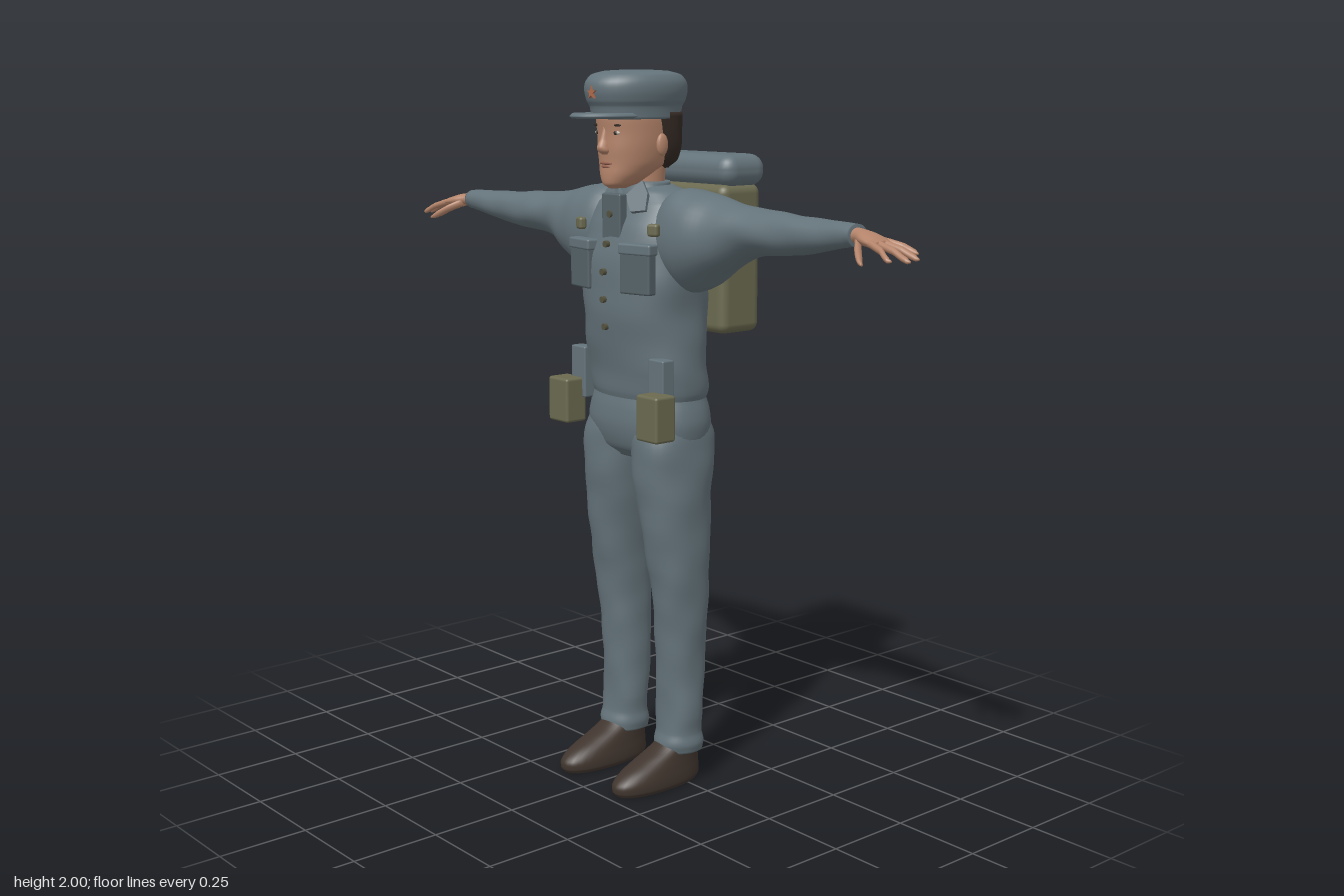
import * as THREE from 'three';
import { RoundedBoxGeometry } from 'three/addons/geometries/RoundedBoxGeometry.js';

const mat = (name, color, side = THREE.FrontSide) => {
  const m = new THREE.MeshStandardMaterial({ color, side });
  m.name = name;
  return m;
};

// Smooth skin over elliptical rings [t, cu, cv, ru, rv].
// Axis 'y': t = y, u = x, v = z.  Axis 'x': t = x, u = z, v = y.  t must rise.
function loft(rings, { axis = 'y', n = 2, seg = 32, sub = 5, fold = 0, cap = true } = {}) {
  const rows = [];
  const at = (i) => rings[Math.min(Math.max(i, 0), rings.length - 1)];
  for (let i = 0; i < rings.length - 1; i++) {
    for (let k = 0; k < sub; k++) {
      const f = k / sub;
      rows.push(rings[i].map((b, c) => {
        if (c === 0) return b + (at(i + 1)[0] - b) * f;
        const a = at(i - 1)[c], d = at(i + 1)[c], e = at(i + 2)[c];
        return 0.5 * (2 * b + (d - a) * f + (2 * a - 5 * b + 4 * d - e) * f * f + (3 * b - a - 3 * d + e) * f * f * f);
      }));
    }
  }
  rows.push(at(rings.length));
  if (cap) {
    const shut = (r) => [r[0], r[1], r[2], 0, 0];
    rows.unshift(shut(rows[0]));
    rows.push(shut(rows[rows.length - 1]));
  }
  const pos = [], index = [];
  const bend = (x) => Math.sign(x) * Math.pow(Math.abs(x), 2 / n);
  rows.forEach(([t, cu, cv, ru, rv], r) => {
    for (let j = 0; j < seg; j++) {
      const a = (j / seg) * Math.PI * 2;
      // cloth folds
      const w = 1 + fold * (Math.sin(3 * a + t * 31) + 0.7 * Math.sin(2 * a - t * 53 + 1) + 0.4 * Math.sin(5 * a + t * 17));
      const u = cu + ru * w * bend(Math.cos(a)), v = cv + rv * w * bend(Math.sin(a));
      if (axis === 'y') pos.push(u, t, v); else pos.push(t, v, u);
      if (r < rows.length - 1) {
        const p = r * seg + j, q = r * seg + (j + 1) % seg;
        index.push(p, p + seg, q, q, p + seg, q + seg);
      }
    }
  });
  const g = new THREE.BufferGeometry();
  g.setAttribute('position', new THREE.Float32BufferAttribute(pos, 3));
  g.setIndex(index);
  g.computeVertexNormals();
  return g;
}

// Mirrored copy across x = 0 with the winding put right
function mirrored(geo) {
  const g = geo.index ? geo.toNonIndexed() : geo.clone();
  g.scale(-1, 1, 1);
  for (const key of Object.keys(g.attributes)) {
    const { array, itemSize: s } = g.attributes[key];
    for (let i = 0; i < array.length; i += 3 * s) {
      for (let c = 0; c < s; c++) {
        const keep = array[i + s + c];
        array[i + s + c] = array[i + 2 * s + c];
        array[i + 2 * s + c] = keep;
      }
    }
  }
  return g;
}

const box = (w, h, d, x, y, z, r = 0.005, ry = 0) =>
  new RoundedBoxGeometry(w, h, d, 3, r).rotateY(ry).translate(x, y, z);
const ball = (rx, ry, rz, x, y, z) =>
  new THREE.SphereGeometry(1, 18, 12).scale(rx, ry, rz).translate(x, y, z);

export function createModel() {
  const root = new THREE.Group();
  root.name = 'uniformedFigure';
  const cloth = mat('uniform cloth', 0x64737a);
  const trim = mat('pocket cloth', 0x566368);
  const olive = mat('olive canvas', 0x6b6a50);
  const skin = mat('skin', 0xb4846a);
  const hair = mat('dark hair', 0x342a24);
  const leather = mat('shoe leather', 0x40352e);
  const lip = mat('lips', 0x94604f);
  const white = mat('eye white', 0xc4b8ac);
  const brass = mat('button metal', 0x54523f);
  const red = mat('badge copper', 0xb06a4c);

  const add = (name, geo, m) => {
    const mesh = new THREE.Mesh(geo, m);
    mesh.name = name;
    root.add(mesh);
  };
  const pair = (name, geo, m) => {
    add(name + 'Left', geo, m);
    add(name + 'Right', mirrored(geo), m);
  };

  // Jacket
  add('jacketBody', loft([
    [1.09, 0, 0.005, 0.178, 0.112], [1.13, 0, 0.005, 0.194, 0.122], [1.2, 0, 0.012, 0.194, 0.126],
    [1.3, 0, 0.018, 0.188, 0.138], [1.4, 0, 0.02, 0.192, 0.144], [1.5, 0, 0.018, 0.198, 0.138],
    [1.58, 0, 0.008, 0.195, 0.124], [1.64, 0, 0.002, 0.168, 0.102], [1.675, 0, 0.002, 0.12, 0.082],
    [1.69, 0, 0.005, 0.07, 0.06]], { n: 2.3, seg: 48, fold: 0.009 }), cloth);
  pair('sleeve', loft([
    [0.08, 0, 1.55, 0.09, 0.11], [0.16, 0, 1.552, 0.11, 0.134], [0.22, 0, 1.55, 0.108, 0.134],
    [0.3, -0.004, 1.563, 0.096, 0.101], [0.4, -0.01, 1.583, 0.08, 0.067], [0.5, 0, 1.588, 0.066, 0.057],
    [0.6, 0.011, 1.591, 0.054, 0.049], [0.7, 0.022, 1.598, 0.042, 0.039], [0.78, 0.03, 1.606, 0.034, 0.03],
    [0.805, 0.031, 1.607, 0.032, 0.028]], { axis: 'x', seg: 36, fold: 0.016 }), cloth);
  add('collarBand', loft([[1.63, 0, 0.015, 0.092, 0.08], [1.665, 0, 0.018, 0.078, 0.071], [1.7, 0, 0.015, 0.068, 0.064]],
    { cap: true }), cloth);
  const flap = new THREE.Shape([[0.022, 1.66], [0.062, 1.705], [0.09, 1.668], [0.098, 1.618], [0.052, 1.612]]
    .map(([x, y]) => new THREE.Vector2(x, y)));
  pair('collarFlap', new THREE.ExtrudeGeometry(flap, { depth: 0.012, bevelEnabled: false })
    .translate(0, -1.66, 0).rotateX(-0.5).rotateY(0.3).translate(0, 1.66, 0.105), cloth);
  add('chestPlacket', box(0.078, 0.14, 0.026, 0, 1.6, 0.128), trim);
  pair('chestPocket', box(0.104, 0.115, 0.032, 0.115, 1.465, 0.142, 0.006, 0.18), trim);
  pair('pocketFlap', box(0.112, 0.03, 0.038, 0.115, 1.528, 0.142, 0.006, 0.18), cloth);
  pair('shoulderBadge', box(0.034, 0.034, 0.022, 0.155, 1.58, 0.12, 0.008, 0.3), olive);
  [[1.615, 0.142], [1.535, 0.156], [1.46, 0.168], [1.385, 0.168], [1.31, 0.162]].forEach(([y, z], i) =>
    add('button' + (i + 1), new THREE.CylinderGeometry(0.009, 0.009, 0.012, 16).rotateX(Math.PI / 2).translate(0, y, z), brass));

  // Trousers
  add('trouserSeat', loft([
    [0.94, 0, 0.006, 0.13, 0.08], [0.97, 0, 0.006, 0.185, 0.112], [1.03, 0, 0.004, 0.199, 0.13],
    [1.08, 0, 0.003, 0.194, 0.128], [1.13, 0, 0.005, 0.182, 0.114]], { n: 2.3, seg: 48, fold: 0.004 }), cloth);
  pair('trouserLeg', loft([
    [0.095, 0.12, -0.003, 0.066, 0.066], [0.12, 0.121, -0.003, 0.071, 0.068], [0.15, 0.12, -0.004, 0.067, 0.06],
    [0.2, 0.12, -0.006, 0.07, 0.06], [0.3, 0.118, -0.01, 0.067, 0.066], [0.42, 0.121, -0.009, 0.067, 0.073],
    [0.52, 0.125, -0.006, 0.07, 0.079], [0.64, 0.124, 0.002, 0.076, 0.091], [0.8, 0.114, 0.009, 0.087, 0.107],
    [0.92, 0.105, 0.008, 0.097, 0.12], [1.0, 0.1, 0.004, 0.098, 0.124], [1.06, 0.095, 0.004, 0.09, 0.11]],
    { n: 2.2, seg: 36, fold: 0.014 }), cloth);

  // Shoes
  pair('shoe', loft([
    [0, 0.118, 0.08, 0.056, 0.142], [0.012, 0.118, 0.08, 0.062, 0.15], [0.035, 0.118, 0.078, 0.062, 0.148],
    [0.06, 0.118, 0.062, 0.058, 0.13], [0.085, 0.118, 0.034, 0.054, 0.1], [0.11, 0.119, 0.008, 0.052, 0.07],
    [0.13, 0.12, 0, 0.05, 0.055]], { n: 2.2 }), leather);

  // Hands
  pair('palm', loft([
    [0.79, 0.031, 1.607, 0.024, 0.02], [0.815, 0.033, 1.606, 0.025, 0.019], [0.85, 0.04, 1.602, 0.036, 0.018],
    [0.885, 0.044, 1.596, 0.04, 0.014], [0.902, 0.044, 1.592, 0.034, 0.009]], { axis: 'x', seg: 20 }), skin);
  const fingers = { index: [0.975, 0.098, 1.562, 0.071], middle: [1.0, 0.06, 1.56, 0.053],
    ring: [0.993, 0.022, 1.563, 0.034], little: [0.96, -0.012, 1.572, 0.016] };
  for (const [name, [x, z, y, z0]] of Object.entries(fingers)) {
    const mid = (a, b) => a + (b - a) * 0.55;
    pair(name + 'Finger', loft([
      [0.87, z0, 1.598, 0.01, 0.01], [mid(0.88, x), mid(z0, z), mid(1.597, y) + 0.004, 0.009, 0.009],
      [x - 0.012, z, y + 0.003, 0.0075, 0.0075], [x, z, y, 0.003, 0.003]], { axis: 'x', seg: 12 }), skin);
  }
  pair('thumb', loft([
    [0.825, 0.052, 1.596, 0.012, 0.012], [0.855, 0.082, 1.58, 0.013, 0.011], [0.885, 0.108, 1.56, 0.011, 0.01],
    [0.904, 0.12, 1.55, 0.004, 0.004]], { axis: 'x', seg: 12 }), skin);

  // Head
  add('neck', loft([[1.62, 0, 0.015, 0.062, 0.06], [1.68, 0, 0.022, 0.056, 0.056], [1.76, 0, 0.02, 0.058, 0.06]]), skin);
  add('head', loft([
    [1.684, 0, 0.115, 0.018, 0.028], [1.695, 0, 0.105, 0.04, 0.052], [1.72, 0, 0.084, 0.061, 0.076],
    [1.75, 0, 0.062, 0.077, 0.097], [1.79, 0, 0.052, 0.086, 0.11], [1.83, 0, 0.048, 0.09, 0.114],
    [1.88, 0, 0.048, 0.091, 0.118], [1.93, 0, 0.048, 0.08, 0.105]], { n: 2.15, seg: 40 }), skin);
  add('hair', loft([
    [1.735, 0, -0.005, 0.05, 0.04], [1.755, 0, -0.01, 0.074, 0.054], [1.79, 0, -0.008, 0.088, 0.064],
    [1.83, 0, 0.002, 0.094, 0.076], [1.885, 0, 0.012, 0.096, 0.088]], { n: 2.3 }), hair);
  pair('ear', ball(0.01, 0.03, 0.019, 0.094, 1.8, 0.038), skin);
  add('nose', loft([
    [1.774, 0, 0.156, 0.011, 0.01], [1.783, 0, 0.16, 0.018, 0.019], [1.795, 0, 0.161, 0.016, 0.022],
    [1.815, 0, 0.156, 0.01, 0.017], [1.85, 0, 0.152, 0.007, 0.011]], { seg: 18 }), skin);
  add('upperLip', ball(0.025, 0.005, 0.007, 0, 1.751, 0.155), lip);
  add('lowerLip', ball(0.021, 0.006, 0.008, 0, 1.742, 0.153), lip);
  pair('eye', ball(0.015, 0.0055, 0.005, 0.037, 1.832, 0.15), white);
  pair('iris', ball(0.006, 0.0055, 0.004, 0.037, 1.832, 0.153), hair);
  pair('eyebrow', ball(0.02, 0.0035, 0.006, 0.038, 1.852, 0.151), hair);

  // Cap
  add('capCrown', loft([
    [1.868, 0, 0.05, 0.099, 0.132], [1.9, 0, 0.05, 0.101, 0.137], [1.915, 0, 0.05, 0.108, 0.146],
    [1.94, 0, 0.05, 0.113, 0.152], [1.965, 0, 0.05, 0.111, 0.149], [1.985, 0, 0.05, 0.098, 0.13],
    [1.994, 0, 0.05, 0.07, 0.092], [1.997, 0, 0.05, 0.03, 0.04]], { n: 2.1, seg: 40 }), cloth);
  add('capBrim', loft([
    [1.87, 0, 0.13, 0.082, 0.126], [1.876, 0, 0.13, 0.088, 0.132], [1.884, 0, 0.13, 0.082, 0.124]], { sub: 3 }), cloth);
  const star = new THREE.Shape(Array.from({ length: 10 }, (_, i) => {
    const r = i % 2 ? 0.007 : 0.018, a = Math.PI / 2 + (i * Math.PI) / 5;
    return new THREE.Vector2(r * Math.cos(a), r * Math.sin(a));
  }));
  add('capStar', new THREE.ExtrudeGeometry(star, { depth: 0.008, bevelEnabled: false }).translate(0, 1.937, 0.198), red);

  // Backpack, bedroll and belt pouches
  add('backpack', box(0.36, 0.41, 0.145, 0, 1.485, -0.18, 0.026), olive);
  add('bedroll', box(0.386, 0.088, 0.155, 0, 1.727, -0.187, 0.04), cloth);
  pair('beltPouch', box(0.086, 0.126, 0.07, 0.193, 1.083, 0.145, 0.008), olive);
  pair('pouchStrap', box(0.062, 0.145, 0.04, 0.168, 1.162, 0.105, 0.005), cloth);
  return root;
}
